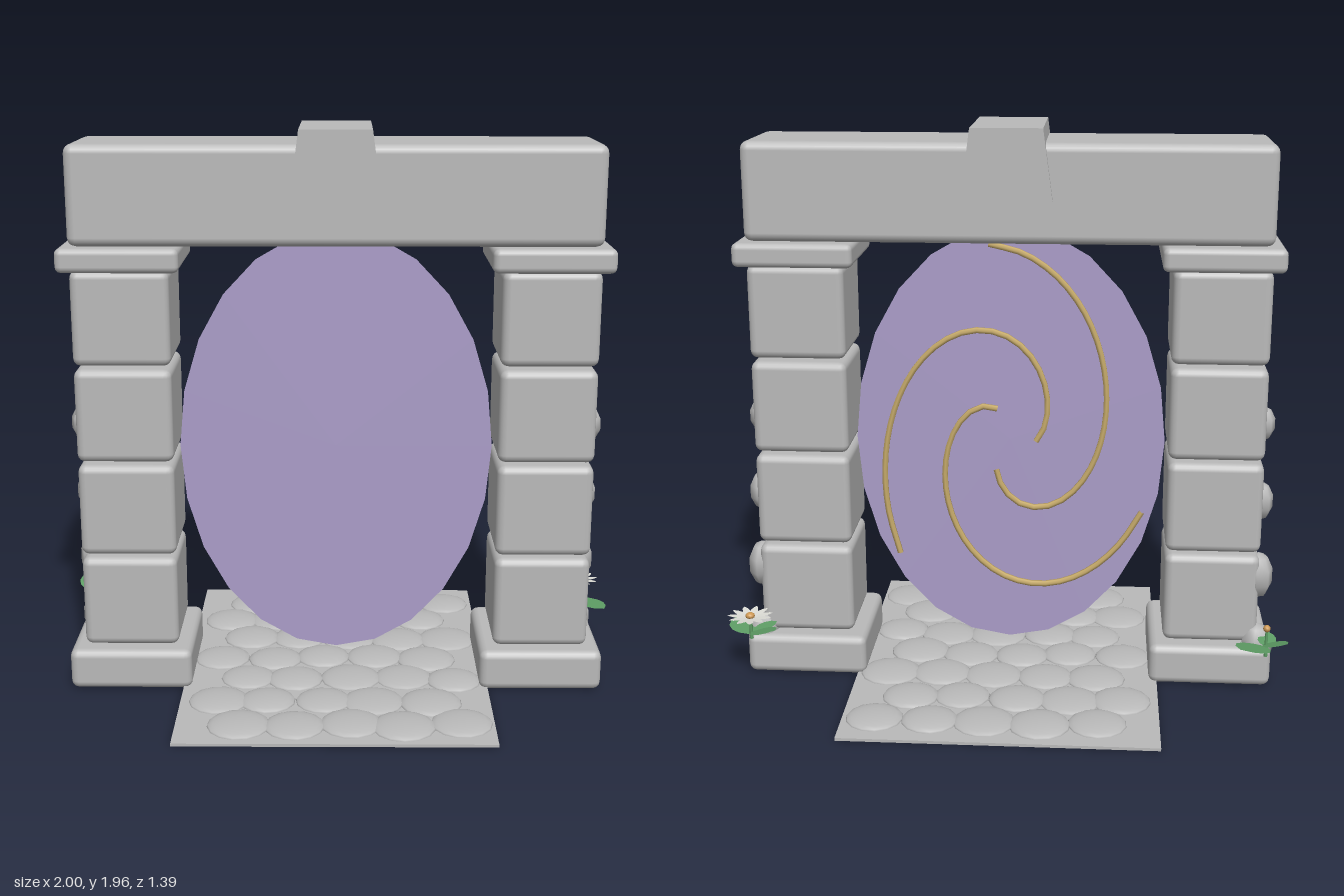
import * as THREE from 'three';
import { RoundedBoxGeometry } from 'three/addons/geometries/RoundedBoxGeometry.js';

const mat = (name, color, side = THREE.FrontSide) => {
  const m = new THREE.MeshStandardMaterial({ color, side });
  m.name = name;
  return m;
};

export function createModel() {
  const stone = mat('grey stone', 0xbababa);
  const violet = mat('portal violet', 0xab9dc9, THREE.DoubleSide);
  const gold = mat('spiral gold', 0xc9ad6c);
  const leafGreen = mat('leaf green', 0x5f9f66, THREE.DoubleSide);
  const petalWhite = mat('petal white', 0xdcdcd6, THREE.DoubleSide);
  const amber = mat('flower amber', 0xcf9a55);

  const root = new THREE.Group();
  root.name = 'stonePortal';
  const arch = new THREE.Group();
  arch.name = 'arch';
  arch.position.set(0.008, 0, 0.025);
  arch.rotation.y = 0.07;
  root.add(arch);

  const add = (parent, name, geo, material, x = 0, y = 0, z = 0) => {
    const m = new THREE.Mesh(geo, material);
    m.name = name;
    m.position.set(x, y, z);
    parent.add(m);
    return m;
  };
  // Bevelled block given by its bottom and top heights
  const block = (parent, name, w, d, y0, y1, r, x = 0) =>
    add(parent, name, new RoundedBoxGeometry(w, y1 - y0, d, 2, r), stone, x, (y0 + y1) / 2, 0);

  // Pillars: base, four blocks, cap and a trail of pebbles on the outer face
  const pebbles = [
    // y, z, half sizes x, y, z
    [0.92, -0.015, 0.045, 0.063, 0.05],
    [0.65, -0.065, 0.045, 0.07, 0.055],
    [0.385, -0.105, 0.052, 0.085, 0.066],
    [0.14, -0.145, 0.06, 0.075, 0.06],
  ];
  for (const s of [-1, 1]) {
    const pillar = new THREE.Group();
    pillar.name = s > 0 ? 'leftPillar' : 'rightPillar';
    arch.add(pillar);
    const x = s * 0.7225;
    block(pillar, 'pillarBase', 0.43, 0.43, 0, 0.145, 0.028, x);
    for (let i = 0; i < 4; i++) {
      const y = 0.147 + i * 0.338;
      block(pillar, 'pillarBlock', 0.333, 0.333, y, y + 0.326, 0.028, x);
    }
    block(pillar, 'pillarCap', 0.41, 0.41, 1.485, 1.568, 0.022, x);
    for (const [y, z, a, b, c] of pebbles) {
      add(pillar, 'pebble', new THREE.SphereGeometry(1, 7, 5), stone, s * 0.89, y, z).scale.set(a, b, c);
    }
  }

  // Lintel and wedge keystone
  block(arch, 'lintel', 1.775, 0.37, 1.57, 1.905, 0.03);
  const wedge = new THREE.Shape([
    new THREE.Vector2(-0.152, 1.715), new THREE.Vector2(0.152, 1.715),
    new THREE.Vector2(0.12, 1.955), new THREE.Vector2(-0.12, 1.955),
  ]);
  add(arch, 'keystone', new THREE.ExtrudeGeometry(wedge, { depth: 0.41, bevelEnabled: false }), stone, 0, 0, -0.205);

  // Portal oval with three spiral arms on the back
  const RX = 0.55, RY = 0.765, CY = 0.84;
  add(arch, 'portalOval', new THREE.CircleGeometry(1, 24).rotateZ(Math.PI / 2), violet, 0, CY, 0).scale.set(RX, RY, 1);
  for (let k = 0; k < 3; k++) {
    const pts = [];
    for (let i = 0; i <= 16; i++) {
      const t = i / 16;
      const r = 0.17 + 0.76 * t;
      const a = -0.03 + k * Math.PI * 2 / 3 + 3.84 * t;
      pts.push(new THREE.Vector3(-RX * r * Math.cos(a), RY * r * Math.sin(a), 0));
    }
    const curve = new THREE.CatmullRomCurve3(pts);
    add(arch, 'spiralArm', new THREE.TubeGeometry(curve, 28, 0.011, 6), gold, 0, CY, -0.012);
  }

  // Cobbled path: thin slab with seven staggered rows of low domes
  const path = new THREE.Group();
  path.name = 'path';
  path.position.z = -0.03;
  arch.add(path);
  add(path, 'pathSlab', new THREE.BoxGeometry(1.075, 0.01, 1.32), stone, 0, 0.005, 0);
  let seed = 7;
  const rand = () => (seed = (seed * 16807) % 2147483647) / 2147483647 - 0.5;
  const dome = new THREE.SphereGeometry(1, 14, 5, 0, Math.PI * 2, 0, Math.PI / 2);
  for (let row = 0; row < 7; row++) {
    for (let i = 0; i < 5; i++) {
      const x = (i - 2) * 0.184 + (row % 2 ? -0.045 : 0.05) + rand() * 0.02;
      const z = (row - 3) * 0.174 + rand() * 0.03;
      const r = 0.104 + rand() * 0.012;
      const cobble = add(path, 'cobble', dome, stone, x, 0.008, z);
      cobble.scale.set(r, 0.022 + rand() * 0.004, r);
      cobble.rotation.y = rand() * 3;
    }
  }

  // Flat blade pointing from its base along (dx, dz), tilted upwards
  const blade = (parent, name, material, x, y, z, dx, dz, width, tilt) => {
    const l = Math.hypot(dx, dz);
    const s = new THREE.Shape();
    s.moveTo(0, 0);
    s.bezierCurveTo(width * 0.7, l * 0.25, width * 0.65, l * 0.8, 0, l);
    s.bezierCurveTo(-width * 0.65, l * 0.8, -width * 0.7, l * 0.25, 0, 0);
    const m = add(parent, name, new THREE.ShapeGeometry(s, 5).rotateX(-Math.PI / 2), material, x, y, z);
    m.rotation.set(tilt, Math.atan2(-dx, -dz), 0, 'YXZ');
  };
  const stem = (parent, x, z, y0, y1) =>
    add(parent, 'stem', new THREE.CylinderGeometry(0.005, 0.007, y1 - y0, 6), leafGreen, x, (y0 + y1) / 2, z);

  // Daisy beside the left pillar
  const daisy = new THREE.Group();
  daisy.name = 'daisy';
  root.add(daisy);
  stem(daisy, 0.9, -0.285, 0.15, 0.235);
  for (let i = 0; i < 11; i++) {
    const a = i * Math.PI * 2 / 11;
    blade(daisy, 'petal', petalWhite, 0.9, 0.232, -0.29, 0.082 * Math.sin(a), 0.082 * Math.cos(a), 0.027, 0.12);
  }
  add(daisy, 'flowerCentre', new THREE.SphereGeometry(0.017, 10, 6), amber, 0.9, 0.24, -0.29).scale.y = 0.7;
  blade(daisy, 'leaf', leafGreen, 0.9, 0.175, -0.285, -0.11, -0.055, 0.085, 0.3);
  blade(daisy, 'leaf', leafGreen, 0.91, 0.165, -0.285, 0.085, 0.125, 0.09, 0.05);
  blade(daisy, 'leaf', leafGreen, 0.9, 0.175, -0.285, -0.08, 0.06, 0.06, 0.2);

  // Leafy bud beside the right pillar
  const bud = new THREE.Group();
  bud.name = 'budPlant';
  root.add(bud);
  stem(bud, -0.92, -0.165, 0.14, 0.24);
  add(bud, 'budTip', new THREE.SphereGeometry(0.013, 8, 6), amber, -0.92, 0.245, -0.165);
  blade(bud, 'leaf', leafGreen, -0.92, 0.18, -0.17, 0.095, -0.125, 0.12, 0.25);
  blade(bud, 'leaf', leafGreen, -0.91, 0.18, -0.155, -0.085, -0.075, 0.08, 0.35);
  blade(bud, 'leaf', leafGreen, -0.92, 0.175, -0.165, -0.01, 0.105, 0.065, 0.1);

  return root;
}
